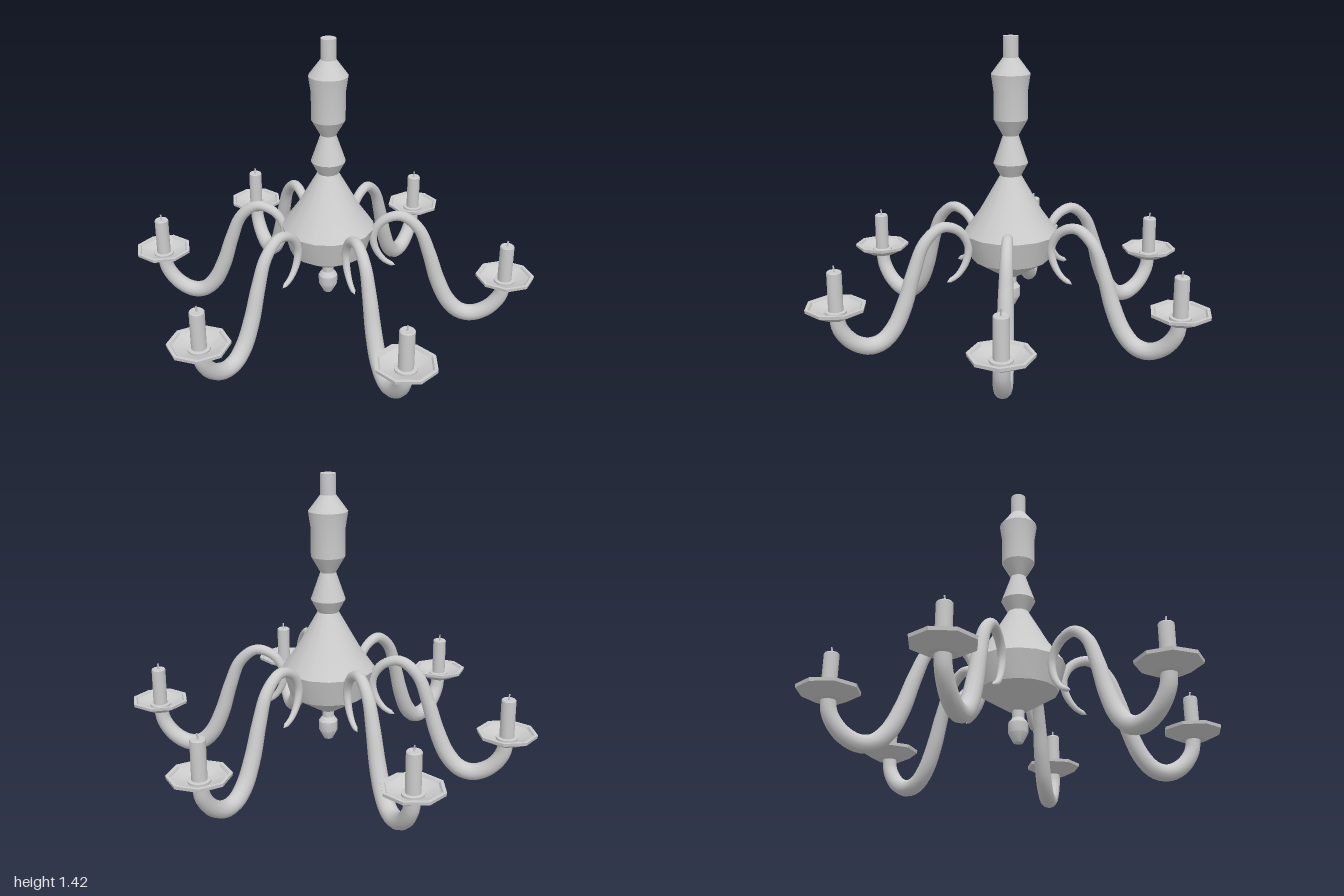
import * as THREE from 'three';
import { toCreasedNormals } from 'three/addons/utils/BufferGeometryUtils.js';

const material = new THREE.MeshStandardMaterial({ color: 0xcccccc });

function part(name, geometry) {
  const mesh = new THREE.Mesh(geometry, material);
  mesh.name = name;
  return mesh;
}

// Turned part: profile of [radius, y] from bottom to top, with sharp ridges
function turned(name, profile, sides, crease) {
  const points = profile.map(([r, y]) => new THREE.Vector2(r, y));
  return part(name, toCreasedNormals(new THREE.LatheGeometry(points, sides), crease));
}

// Tube along a curve whose radius follows a list of evenly spaced values
function taperedTube(name, curve, radii, steps, sides) {
  const geometry = new THREE.TubeGeometry(curve, steps, 1, sides);
  const pos = geometry.attributes.position;
  const centre = new THREE.Vector3();
  const v = new THREE.Vector3();
  for (let i = 0; i <= steps; i++) {
    curve.getPointAt(i / steps, centre);
    const t = (i / steps) * (radii.length - 1);
    const k = Math.min(Math.floor(t), radii.length - 2);
    // the first ring closes the tip
    const radius = i === 0 ? 0 : THREE.MathUtils.lerp(radii[k], radii[k + 1], t - k);
    for (let j = 0; j <= sides; j++) {
      const n = i * (sides + 1) + j;
      v.fromBufferAttribute(pos, n).sub(centre).multiplyScalar(radius).add(centre);
      pos.setXYZ(n, v.x, v.y, v.z);
    }
  }
  return part(name, geometry);
}

// S-shaped arm reaching along +x, with drip pan and candle at its end
function createArm() {
  const arm = new THREE.Group();
  const path = new THREE.CatmullRomCurve3([
    [0.33, 0.292], [0.275, 0.32], [0.23, 0.385], [0.22, 0.46], [0.265, 0.535],
    [0.35, 0.563], [0.435, 0.5], [0.49, 0.37], [0.535, 0.23], [0.59, 0.115],
    [0.65, 0.057], [0.715, 0.046], [0.79, 0.082], [0.845, 0.155], [0.86, 0.235],
  ].map(([x, y]) => new THREE.Vector3(x, y, 0)));
  const radii = [0.01, 0.017, 0.021, 0.025, 0.029, 0.034, 0.038, 0.04, 0.04, 0.037, 0.034];
  arm.add(taperedTube('armTube', path, radii, 64, 12));

  const holder = new THREE.Group();
  holder.name = 'candleHolder';
  holder.position.x = 0.86;

  // Octagonal dished pan, one corner pointing outwards
  holder.add(turned('dripPan', [
    [0, 0.215], [0.06, 0.215], [0.138, 0.255], [0.14, 0.27],
    [0.125, 0.27], [0.118, 0.26], [0.05, 0.235], [0, 0.235],
  ], 8, 0.3));
  holder.add(turned('candleCup', [[0.05, 0.225], [0.05, 0.245], [0.03, 0.247]], 16, 0.6));
  holder.add(turned('candle', [
    [0.034, 0.23], [0.034, 0.425], [0.03, 0.43], [0.008, 0.427], [0, 0.427],
  ], 16, 0.6));

  const wickPath = new THREE.CatmullRomCurve3([
    new THREE.Vector3(0, 0.42, 0),
    new THREE.Vector3(0, 0.442, 0),
    new THREE.Vector3(0.003, 0.458, 0),
  ]);
  holder.add(part('wick', new THREE.TubeGeometry(wickPath, 6, 0.004, 6)));
  arm.add(holder);
  return arm;
}

export function createModel() {
  const model = new THREE.Group();
  model.name = 'chandelier';
  const body = new THREE.Group();
  body.name = 'body';
  body.position.x = 0.013;
  model.add(body);

  // Central column, from the lower cone up to the ceiling stem
  body.add(turned('column', [
    [0, 0.28], [0.04, 0.28], [0.185, 0.37], [0.222, 0.5], [0.15, 0.6], [0.05, 0.775],
    [0.082, 0.835], [0.037, 0.965], [0.08, 1.04], [0.08, 1.17], [0.092, 1.25],
    [0.036, 1.325], [0.036, 1.422], [0, 1.422],
  ], 16, 0.42));

  // Drop under the column
  body.add(turned('finial', [
    [0, 0.13], [0.022, 0.13], [0.046, 0.175], [0.046, 0.222], [0.028, 0.245], [0.028, 0.3],
  ], 12, 0.55));

  // Six arms, set at slightly more than a sixth of a turn
  for (let i = 0; i < 6; i++) {
    const arm = createArm();
    arm.name = 'arm' + (i + 1);
    arm.rotation.y = THREE.MathUtils.degToRad(90 - 62.1 * i);
    body.add(arm);
  }
  return model;
}
